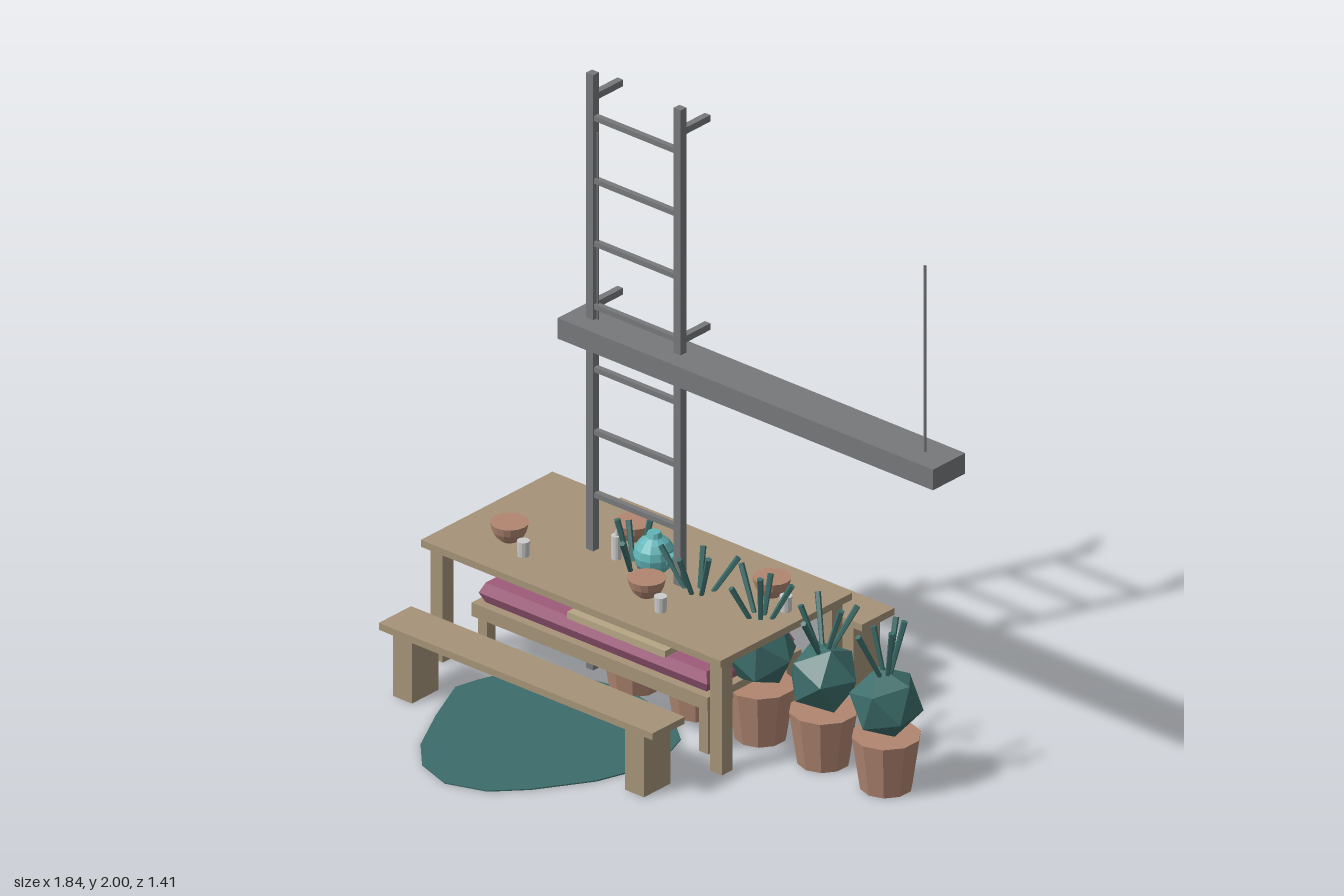
import * as THREE from 'three';

const mat = (color, double) => new THREE.MeshStandardMaterial({
  color, flatShading: true, side: double ? THREE.DoubleSide : THREE.FrontSide });
const wood = mat(0xa59378), steel = mat(0x77787a), clay = mat(0xb08570), leaf = mat(0x3c6d6a),
  teal = mat(0x62b5b8), pink = mat(0x9d5a78), pale = mat(0xcccccc), cream = mat(0xb5a684);

const CX = -0.325, CZ = -0.16; // centre of the dining set

function add(parent, name, geometry, material, x = 0, y = 0, z = 0) {
  const mesh = new THREE.Mesh(geometry, material);
  mesh.name = name;
  mesh.position.set(x, y, z);
  parent.add(mesh);
  return mesh;
}

// Box given by its bounds on each axis
function box(parent, name, material, [x0, x1], [y0, y1], [z0, z1]) {
  return add(parent, name, new THREE.BoxGeometry(x1 - x0, y1 - y0, z1 - z0), material,
    (x0 + x1) / 2, (y0 + y1) / 2, (z0 + z1) / 2);
}

// Straight rod between two points
function rod(parent, name, material, a, b, r0, r1, sides = 6) {
  const dir = b.clone().sub(a);
  const mesh = add(parent, name, new THREE.CylinderGeometry(r1, r0, dir.length(), sides), material);
  mesh.position.copy(a).add(b).multiplyScalar(0.5);
  mesh.quaternion.setFromUnitVectors(new THREE.Vector3(0, 1, 0), dir.normalize());
  return mesh;
}

// Padded block: a box whose top and bottom faces are drawn in
function padded(w, h, d, inset) {
  const g = new THREE.BoxGeometry(w, h, d, 1, 2, 1), p = g.attributes.position;
  for (let i = 0; i < p.count; i++) {
    if (Math.abs(p.getY(i)) < h / 4) continue;
    p.setX(i, p.getX(i) - Math.sign(p.getX(i)) * inset);
    p.setZ(i, p.getZ(i) - Math.sign(p.getZ(i)) * inset);
  }
  return g;
}

function group(parent, name) {
  const g = new THREE.Group();
  g.name = name;
  parent.add(g);
  return g;
}

// Slab on four legs
function slabTable(parent, name, [hw, hd], [y0, y1], leg, [lx, lz]) {
  const g = group(parent, name);
  box(g, name + 'Top', wood, [CX - hw, CX + hw], [y0, y1], [CZ - hd, CZ + hd]);
  for (const sx of [-1, 1]) for (const sz of [-1, 1])
    add(g, name + 'Leg', new THREE.BoxGeometry(leg, y0, leg), wood, CX + sx * lx, y0 / 2, CZ + sz * lz);
  return g;
}

function bench(parent, z) {
  const g = group(parent, 'bench');
  box(g, 'benchSeat', wood, [CX - 0.545, CX + 0.545], [0.212, 0.235], [z - 0.073, z + 0.073]);
  for (const s of [-1, 1])
    add(g, 'benchLeg', new THREE.BoxGeometry(0.075, 0.212, 0.12), wood, CX + s * 0.462, 0.106, z);
}

function pottedPlant(parent, x, index) {
  const g = group(parent, 'pottedPlant');
  g.position.set(x, 0, CZ);
  add(g, 'pot', new THREE.CylinderGeometry(0.106, 0.08, 0.175, 10), clay, 0, 0.0875, 0);
  const bush = add(g, 'foliage', new THREE.IcosahedronGeometry(0.115, 0), leaf, 0, 0.285, 0);
  bush.rotation.set(0.55, index * 1.3, 0);
  // Spiky leaves fan out around the crown
  for (let i = 0; i < 5; i++) {
    const a = index * 1.7 + i * Math.PI * 0.4, tilt = 0.24 + 0.12 * ((i * 2 + index) % 4);
    const dir = new THREE.Vector3(Math.sin(tilt) * Math.cos(a), Math.cos(tilt), Math.sin(tilt) * Math.sin(a));
    const start = new THREE.Vector3(0, 0.33, 0);
    rod(g, 'leaf', leaf, start, start.clone().addScaledVector(dir, 0.2 + 0.015 * ((i + index) % 3)), 0.007, 0.01, 5);
  }
}

export function createModel() {
  const model = new THREE.Group();
  model.name = 'diningSet';

  // Dining table and two benches
  slabTable(model, 'table', [0.597, 0.297], [0.377, 0.4], 0.048, [0.556, 0.248]);
  bench(model, CZ + 0.473);
  bench(model, CZ - 0.473);

  // Low daybed under the table
  const bed = slabTable(model, 'daybed', [0.47, 0.212], [0.155, 0.2], 0.037, [0.44, 0.178]);
  add(bed, 'mattress', padded(0.91, 0.066, 0.395, 0.015), pink, CX, 0.233, CZ);
  box(bed, 'blanket', cream, [-0.43, -0.04], [0.264, 0.287], [CZ - 0.195, CZ + 0.195]);
  add(bed, 'pillow', padded(0.17, 0.06, 0.26, 0.032), pale, -0.685, 0.295, CZ);

  // Flat rug with an irregular outline
  const outline = [[-0.70, 0.13], [-0.72, 0.21], [-0.64, 0.39], [-0.55, 0.56], [-0.46, 0.655], [-0.33, 0.70],
    [-0.20, 0.655], [-0.11, 0.56], [0, 0.39], [0.06, 0.21], [0.05, 0.13], [0.01, 0.02], [-0.10, -0.07],
    [-0.33, -0.12], [-0.55, -0.07], [-0.66, 0.02]];
  const rugShape = new THREE.Shape(outline.map(([x, z]) => new THREE.Vector2(x, -z)));
  const rug = add(model, 'rug', new THREE.ExtrudeGeometry(rugShape, { depth: 0.004, bevelEnabled: false }), leaf);
  rug.rotation.x = -Math.PI / 2;

  // Row of potted plants
  for (let i = 0; i < 5; i++) pottedPlant(model, -0.33 + i * 0.25, i);

  // Ladder with wall brackets
  const ladder = group(model, 'ladder');
  for (const x of [-0.5, -0.152]) {
    add(ladder, 'ladderRail', new THREE.BoxGeometry(0.028, 2, 0.026), steel, x, 1, CZ);
    for (const y of [1.22, 1.92])
      box(ladder, 'wallBracket', steel, [x - 0.011, x + 0.011], [y - 0.011, y + 0.011], [-0.285, CZ]);
  }
  for (let i = 0; i < 9; i++)
    box(ladder, 'ladderRung', steel, [-0.5, -0.152], [0.157 + i * 0.211, 0.174 + i * 0.211], [CZ - 0.009, CZ + 0.009]);

  // Hanging beam lamp
  const lamp = group(model, 'hangingLamp');
  box(lamp, 'lampBeam', steel, [-0.575, 0.92], [1.108, 1.177], [CZ - 0.073, CZ + 0.073]);
  box(lamp, 'lampDiffuser', cream, [-0.555, 0.90], [1.102, 1.108], [CZ - 0.06, CZ + 0.06]);
  for (const x of [-0.48, 0.824])
    add(lamp, 'lampCable', new THREE.CylinderGeometry(0.004, 0.004, 0.63, 6), steel, x, 1.488, CZ);

  // Place settings: a bowl and a cup each
  const bowlProfile = [[0, 0], [0.026, 0], [0.042, 0.014], [0.053, 0.034], [0.059, 0.06], [0, 0.06]]
    .map(([r, y]) => new THREE.Vector2(r, y));
  for (const [x, z] of [[-0.45, -0.29], [0.10, -0.29], [-0.725, -0.04], [-0.178, -0.04]]) {
    const setting = group(model, 'placeSetting');
    setting.position.set(x, 0.4, z);
    add(setting, 'bowl', new THREE.LatheGeometry(bowlProfile, 16), clay);
    add(setting, 'cup', new THREE.CylinderGeometry(0.02, 0.018, 0.05, 12), pale, 0.099, 0.025, 0.05);
  }

  // Teapot
  const pot = group(model, 'teapot');
  pot.position.set(-0.255, 0.4, CZ);
  add(pot, 'teapotBody', new THREE.SphereGeometry(0.064, 12, 8), teal, 0, 0.066, 0);
  add(pot, 'teapotLid', new THREE.CylinderGeometry(0.02, 0.026, 0.018, 10), teal, 0, 0.132, 0);
  rod(pot, 'teapotSpout', teal, new THREE.Vector3(0.045, 0.055, 0), new THREE.Vector3(0.105, 0.105, 0), 0.017, 0.01, 8);

  // Candle
  const candle = group(model, 'candle');
  candle.position.set(-0.405, 0.4, CZ);
  add(candle, 'candleBody', new THREE.CylinderGeometry(0.016, 0.016, 0.078, 12), pale, 0, 0.039, 0);
  add(candle, 'candleTip', new THREE.ConeGeometry(0.007, 0.025, 8), pale, 0, 0.09, 0);

  return model;
}
